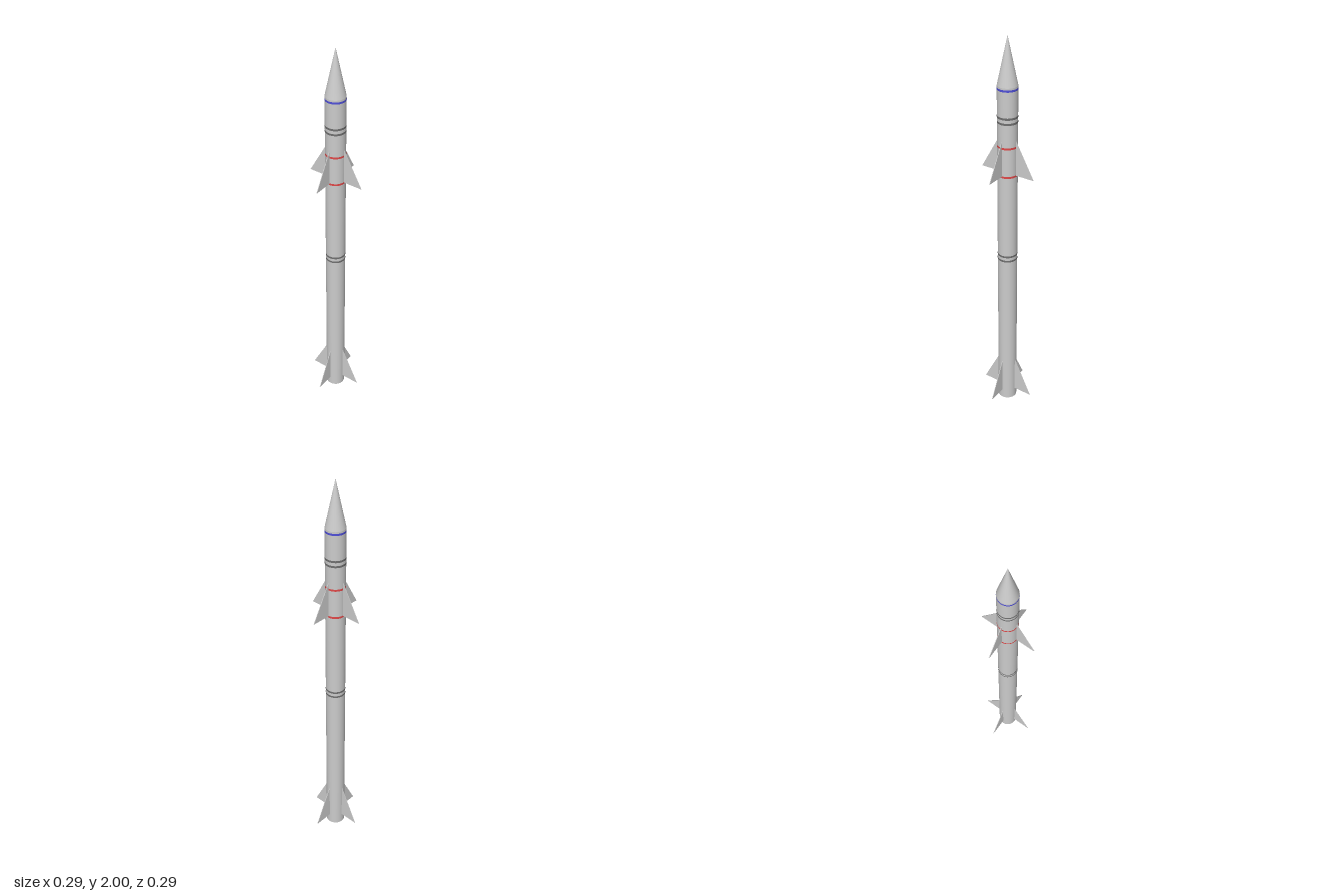
import * as THREE from 'three';

const R = 0.048;
const SIDES = 32;

export function createModel() {
  const group = new THREE.Group();
  const grey = new THREE.MeshStandardMaterial({ color: 0xcccccc });
  const colored = (color) => new THREE.MeshStandardMaterial({ color });
  const darkGrey = colored(0x707070);
  const red = colored(0xe04848);
  const blue = colored(0x5050d8);
  const darkRed = colored(0x802020);

  const add = (name, geometry, material, y = 0) => {
    const mesh = new THREE.Mesh(geometry, material);
    mesh.name = name;
    mesh.position.y = y;
    group.add(mesh);
    return mesh;
  };

  // Straight tube body
  add('body', new THREE.CylinderGeometry(R, R, 1.775, SIDES, 1, true), grey, 1.775 / 2);

  // Pointed nose
  add('noseCone', new THREE.ConeGeometry(R, 0.225, SIDES), grey, 1.775 + 0.225 / 2);

  // Hollow tail: rim, inner wall and recessed engine plate
  const tail = [[0.043, 0.025], [0.043, 0], [0.043, 0], [R, 0]].map(([x, y]) => new THREE.Vector2(x, y));
  const tailMaterial = grey.clone();
  tailMaterial.side = THREE.DoubleSide;
  add('tailRim', new THREE.LatheGeometry(tail, SIDES), tailMaterial);
  const plate = add('enginePlate', new THREE.CircleGeometry(0.043, SIDES), darkRed, 0.025);
  plate.rotation.x = Math.PI / 2;

  // Painted rings, just proud of the body
  const bands = [
    ['noseBand', 1.762, blue],
    ['upperGreyBand', 1.63, darkGrey],
    ['upperGreyBand', 1.605, darkGrey],
    ['upperRedBand', 1.485, red],
    ['lowerRedBand', 1.34, red],
    ['middleGreyBand', 0.905, darkGrey],
    ['middleGreyBand', 0.88, darkGrey],
  ];
  for (const [name, y, material] of bands) {
    const r = R + 0.0006;
    add(name, new THREE.CylinderGeometry(r, r, 0.01, SIDES, 1, true), material, y);
  }

  // Two sets of four thin swept fins
  const addFins = (name, bottom, height) => {
    const shape = new THREE.Shape();
    shape.moveTo(R - 0.004, 0);
    shape.lineTo(0.145, 0);
    shape.lineTo(0.138, 0.012);
    shape.lineTo(R, height);
    shape.lineTo(R - 0.004, height);
    shape.closePath();
    const geometry = new THREE.ExtrudeGeometry(shape, { depth: 0.003, bevelEnabled: false });
    geometry.translate(0, 0, -0.0015);
    for (let i = 0; i < 4; i++) {
      add(name, geometry, grey, bottom).rotation.y = (i * Math.PI) / 2;
    }
  };
  addFins('upperFin', 1.342, 0.172);
  addFins('tailFin', 0.052, 0.195);

  return group;
}
